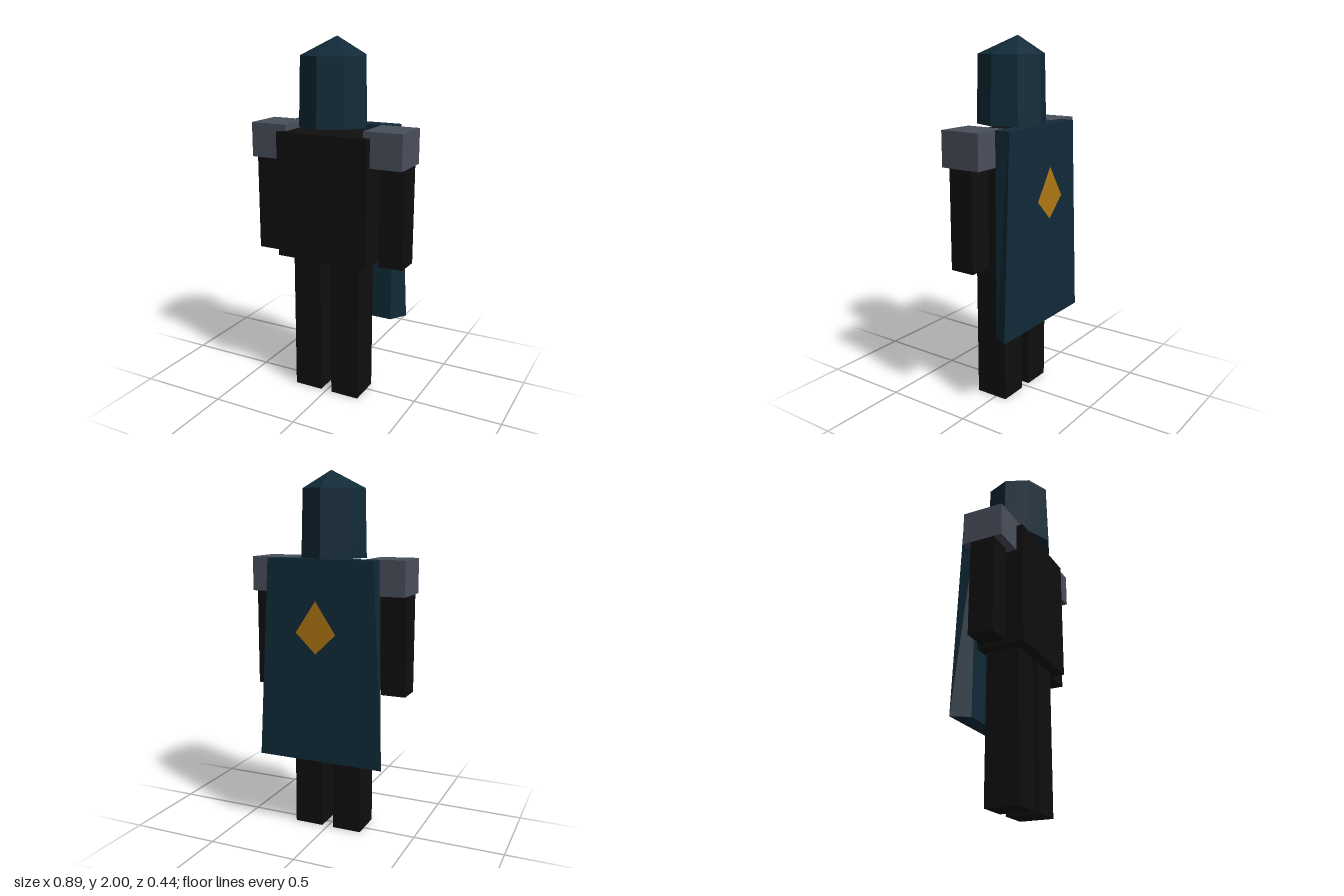
import * as THREE from 'three';

function material(name, color) {
  const m = new THREE.MeshStandardMaterial({ color, flatShading: true });
  m.name = name;
  return m;
}

export function createModel() {
  const black = material('black cloth', 0x0f0f0f);
  const navy = material('dark teal cloth', 0x112a38);
  const grey = material('slate grey', 0x4a505c);
  const gold = material('gold', 0xb07814);
  gold.side = THREE.DoubleSide;

  const model = new THREE.Group();
  model.name = 'cloakedFigure';

  function add(name, geometry, mat) {
    const mesh = new THREE.Mesh(geometry, mat);
    mesh.name = name;
    model.add(mesh);
    return mesh;
  }

  // Box given by its minimum and maximum on each axis
  function boxGeometry([x0, x1], [y0, y1], [z0, z1]) {
    return new THREE.BoxGeometry(x1 - x0, y1 - y0, z1 - z0)
      .translate((x0 + x1) / 2, (y0 + y1) / 2, (z0 + z1) / 2);
  }

  // Mirrored pair: left is +x
  function addPair(name, [x0, x1], y, z, mat) {
    add('left' + name, boxGeometry([x0, x1], y, z), mat);
    add('right' + name, boxGeometry([-x1, -x0], y, z), mat);
  }

  // Body and limbs
  add('torso', boxGeometry([-0.268, 0.268], [0.81, 1.505], [-0.085, 0.182]), black);
  addPair('Leg', [0.033, 0.2], [0, 0.81], [-0.065, 0.125], black);
  addPair('Arm', [0.307, 0.444], [0.81, 1.45], [-0.041, 0.099], black);
  addPair('ShoulderPad', [0.23, 0.446], [1.35, 1.54], [-0.086, 0.145], grey);

  // Hood: tapered octagon with a pointed crown leaning back
  const hoodZ = 0.03;
  const rimY = 1.54;
  const crownY = 1.905;
  const topY = 2;
  add('hood', new THREE.CylinderGeometry(0.18, 0.19, crownY - rimY, 8)
    .translate(0, (rimY + crownY) / 2, hoodZ), navy);
  const crown = new THREE.ConeGeometry(0.18, topY - crownY, 8, 1, true)
    .translate(0, (crownY + topY) / 2, hoodZ);
  const cp = crown.attributes.position;
  for (let i = 0; i < cp.count; i++) {
    if (cp.getY(i) > topY - 0.01) cp.setZ(i, -0.01);
  }
  crown.computeVertexNormals();
  add('hoodCrown', crown, navy);

  // Cape: slab whose lower back edge flares outwards
  const cape = boxGeometry([-0.305, 0.305], [0.43, 1.54], [-0.172, -0.086]);
  const p = cape.attributes.position;
  for (let i = 0; i < p.count; i++) {
    if (p.getY(i) < 1 && p.getZ(i) < -0.1) {
      p.setX(i, Math.sign(p.getX(i)) * 0.363);
      p.setZ(i, -0.179);
    }
  }
  cape.computeVertexNormals();
  add('cape', cape, navy);

  // Flat kite on the back, set just behind the cape
  const kite = new THREE.Shape([
    new THREE.Vector2(0, 1.325),
    new THREE.Vector2(-0.115, 1.152),
    new THREE.Vector2(0, 1.042),
    new THREE.Vector2(0.115, 1.152),
  ]);
  add('capeDiamond', new THREE.ShapeGeometry(kite).rotateY(Math.PI).translate(0, 0, -0.22), gold);

  return model;
}
